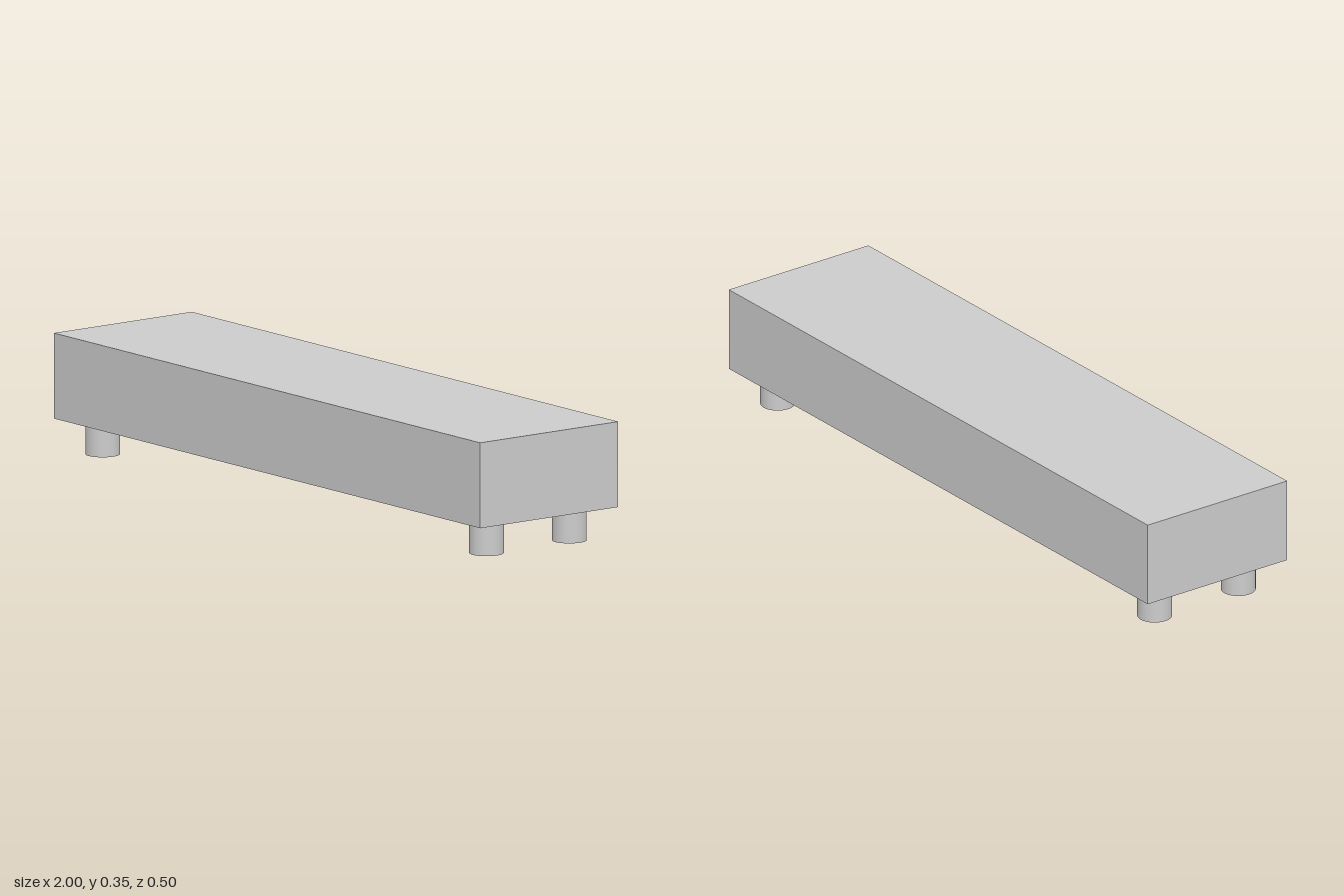
import * as THREE from 'three';

export function createModel() {
  const group = new THREE.Group();
  group.name = 'bench';
  const material = new THREE.MeshStandardMaterial({ color: 0xcccccc });

  // Solid rectangular seat
  const seat = new THREE.Mesh(new THREE.BoxGeometry(2, 0.25, 0.5), material);
  seat.name = 'seat';
  seat.position.y = 0.225;
  group.add(seat);

  // Four short round feet, one near each corner
  const footGeometry = new THREE.CylinderGeometry(0.05, 0.05, 0.1, 32);
  for (const [side, x] of [['Left', 0.9], ['Right', -0.9]]) {
    for (const [end, z] of [['front', 0.15], ['back', -0.15]]) {
      const foot = new THREE.Mesh(footGeometry, material);
      foot.name = `${end}${side}Foot`;
      foot.position.set(x, 0.05, z);
      group.add(foot);
    }
  }

  return group;
}
